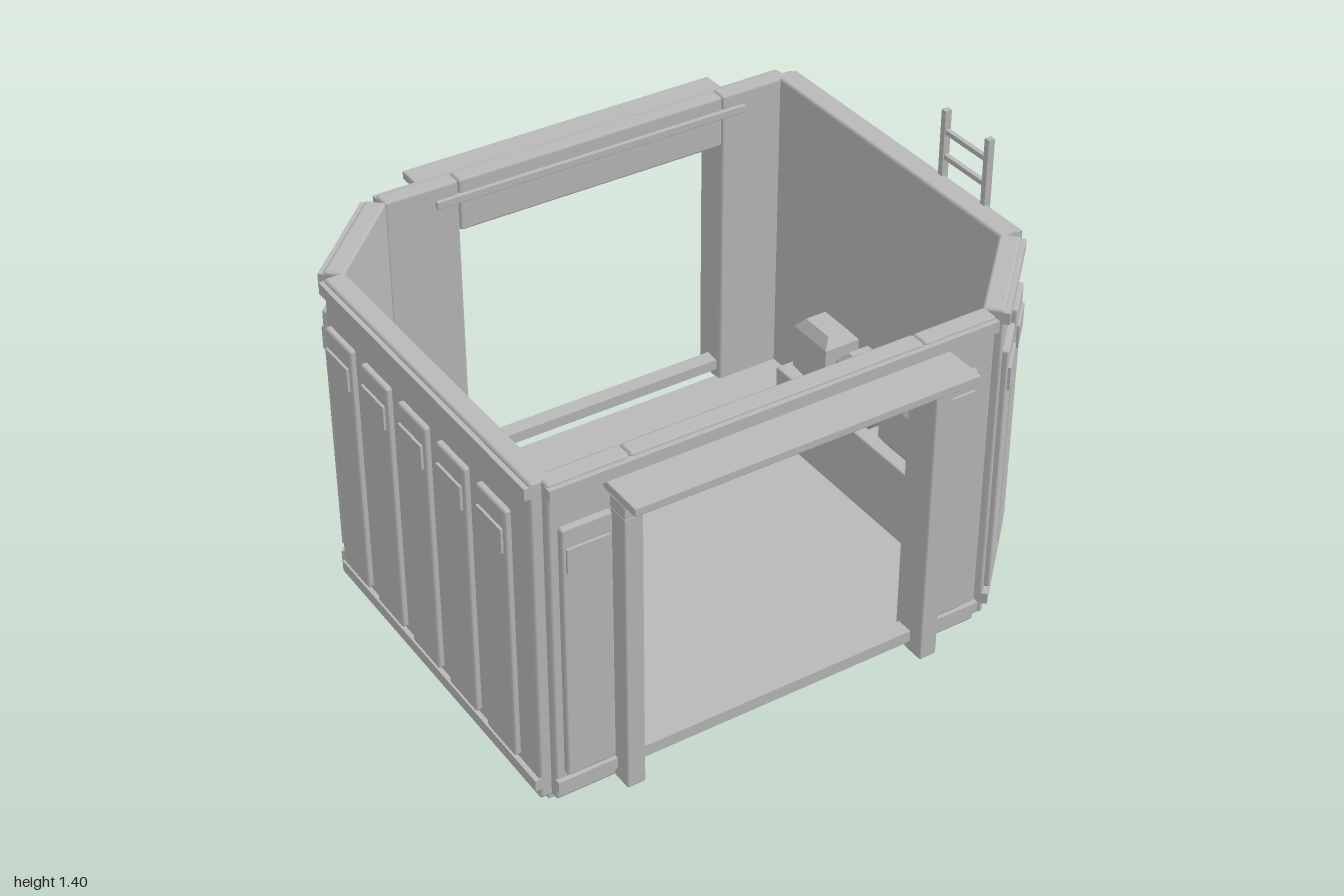
import * as THREE from 'three';
import { RoundedBoxGeometry } from 'three/addons/geometries/RoundedBoxGeometry.js';

const grey = new THREE.MeshStandardMaterial({ color: 0xb8b8b8 });
grey.name = 'plain grey';

function add(parent, name, geometry) {
  const mesh = new THREE.Mesh(geometry, grey);
  mesh.name = name;
  parent.add(mesh);
  return mesh;
}

// Box given by its extents, optionally with a small edge bevel
function block(parent, name, [x0, x1], [y0, y1], [z0, z1], bevel = 0) {
  const size = [x1 - x0, y1 - y0, z1 - z0];
  const geometry = bevel ? new RoundedBoxGeometry(...size, 1, bevel) : new THREE.BoxGeometry(...size);
  const mesh = add(parent, name, geometry);
  mesh.position.set((x0 + x1) / 2, (y0 + y1) / 2, (z0 + z1) / 2);
  return mesh;
}

// Box whose top (and bottom) narrows: rings are [y, inset]
function taperedBox(parent, name, [x0, x1], [z0, z1], rings) {
  const pos = [], index = [];
  for (const [y, i] of rings)
    pos.push(x0 + i, y, z1 - i, x1 - i, y, z1 - i, x1 - i, y, z0 + i, x0 + i, y, z0 + i);
  for (let r = 0; r < rings.length - 1; r++)
    for (let k = 0; k < 4; k++) {
      const a = r * 4 + k, b = r * 4 + (k + 1) % 4;
      index.push(a, b, b + 4, a, b + 4, a + 4);
    }
  const t = (rings.length - 1) * 4;
  index.push(t, t + 1, t + 2, t, t + 2, t + 3, 0, 2, 1, 0, 3, 2);
  const indexed = new THREE.BufferGeometry();
  indexed.setAttribute('position', new THREE.Float32BufferAttribute(pos, 3));
  indexed.setIndex(index);
  const geometry = indexed.toNonIndexed();
  geometry.computeVertexNormals();
  return add(parent, name, geometry);
}

// Straight wall seen in its own frame: x runs along it, z points outwards
function wall(name, angle, [x0, x1], inner, outer, panels, door) {
  const g = new THREE.Group();
  g.name = name;
  g.rotation.y = angle;
  if (door) {
    block(g, 'wallSlab', [x0, door[0]], [0.02, 1.175], [inner, outer], 0.01);
    block(g, 'wallSlab', [door[1], x1], [0.02, 1.175], [inner, outer], 0.01);
    block(g, 'wallHeader', [door[0], door[1]], [0.985, 1.175], [inner, outer], 0.01);
  } else block(g, 'wallSlab', [x0, x1], [0.02, 1.175], [inner, outer], 0.01);
  // Horizontal trim bands
  for (const y of [0.06, 1.125])
    block(g, 'trimBand', [x0, x1], [y, y + 0.04], [inner + 0.02, outer + 0.016]);
  // Raised panels with a small plate near the top
  for (const c of panels) {
    block(g, 'wallPanel', [c - 0.083, c + 0.083], [0.115, 1.02], [outer - 0.02, outer + 0.02], 0.008);
    block(g, 'panelPlate', [c - 0.07, c + 0.07], [0.87, 0.953], [outer + 0.019, outer + 0.0285]);
  }
  return g;
}

function buildHalf() {
  const half = new THREE.Group();
  const front = wall('doorWall', 0, [-0.93, 0.61], 0.74, 0.803, [-0.817, 0.457], [-0.662, 0.345]);
  // Door frame and awning
  for (const x of [-0.728, 0.345])
    block(front, 'doorPost', [x, x + 0.064], [0.02, 1.02], [0.79, 0.873], 0.006);
  block(front, 'doorLintel', [-0.73, 0.41], [1.02, 1.067], [0.78, 0.876], 0.006);
  block(front, 'doorHeadTrim', [-0.662, 0.345], [0.985, 1.0], [0.76, 0.84]);
  block(front, 'awning', [-0.75, 0.43], [1.096, 1.125], [0.728, 0.965], 0.004);

  const sidePanels = [0, 1, 2, 3, 4].map((k) => -0.348 + k * 0.2325);
  const side = wall('sideWall', Math.PI / 2, [-0.455, 0.775], 0.897, 0.968, sidePanels);
  const corner = wall('cornerWall', Math.PI / 4, [-0.102, 0.328], 0.951, 1.02, [-0.003, 0.229]);
  half.add(front, side, corner);
  return half;
}

export function createModel() {
  const model = new THREE.Group();
  model.name = 'walledRoom';

  // The two halves repeat by a half turn
  for (const [name, turn] of [['frontHalf', 0], ['backHalf', Math.PI]]) {
    const half = buildHalf();
    half.name = name;
    half.rotation.y = turn;
    model.add(half);
  }

  // Floor with two cut corners
  const outline = [[-0.935, 0.765], [0.62, 0.765], [0.935, 0.46], [0.935, -0.765], [-0.62, -0.765], [-0.935, -0.46]];
  const shape = new THREE.Shape(outline.map(([x, z]) => new THREE.Vector2(x, -z)));
  const floor = new THREE.ExtrudeGeometry(shape, { depth: 0.03, bevelEnabled: false });
  add(model, 'floor', floor.rotateX(-Math.PI / 2));

  // Ladder on the left side wall
  const ladder = new THREE.Group();
  ladder.name = 'ladder';
  for (const z of [0.036, 0.255])
    block(ladder, 'ladderRail', [0.974, 0.998], [0.04, 1.4], [z, z + 0.021]);
  for (let i = 0; i < 15; i++) {
    const y = 0.06 + i * 0.0897;
    block(ladder, 'ladderRung', [0.978, 0.994], [y, y + 0.017], [0.05, 0.26]);
  }
  model.add(ladder);

  // Locker and long console with three units
  taperedBox(model, 'locker', [-0.86, -0.65], [0.295, 0.595], [[0.03, 0], [0.585, 0], [0.64, 0.05]]);
  block(model, 'console', [0.64, 0.83], [0.025, 0.31], [-0.36, 0.44], 0.006);
  for (const z of [-0.295, -0.052, 0.193])
    taperedBox(model, 'consoleUnit', [0.665, 0.8], [z, z + 0.184],
      [[0.305, 0.028], [0.345, 0], [0.505, 0], [0.54, 0.028]]);
  return model;
}
